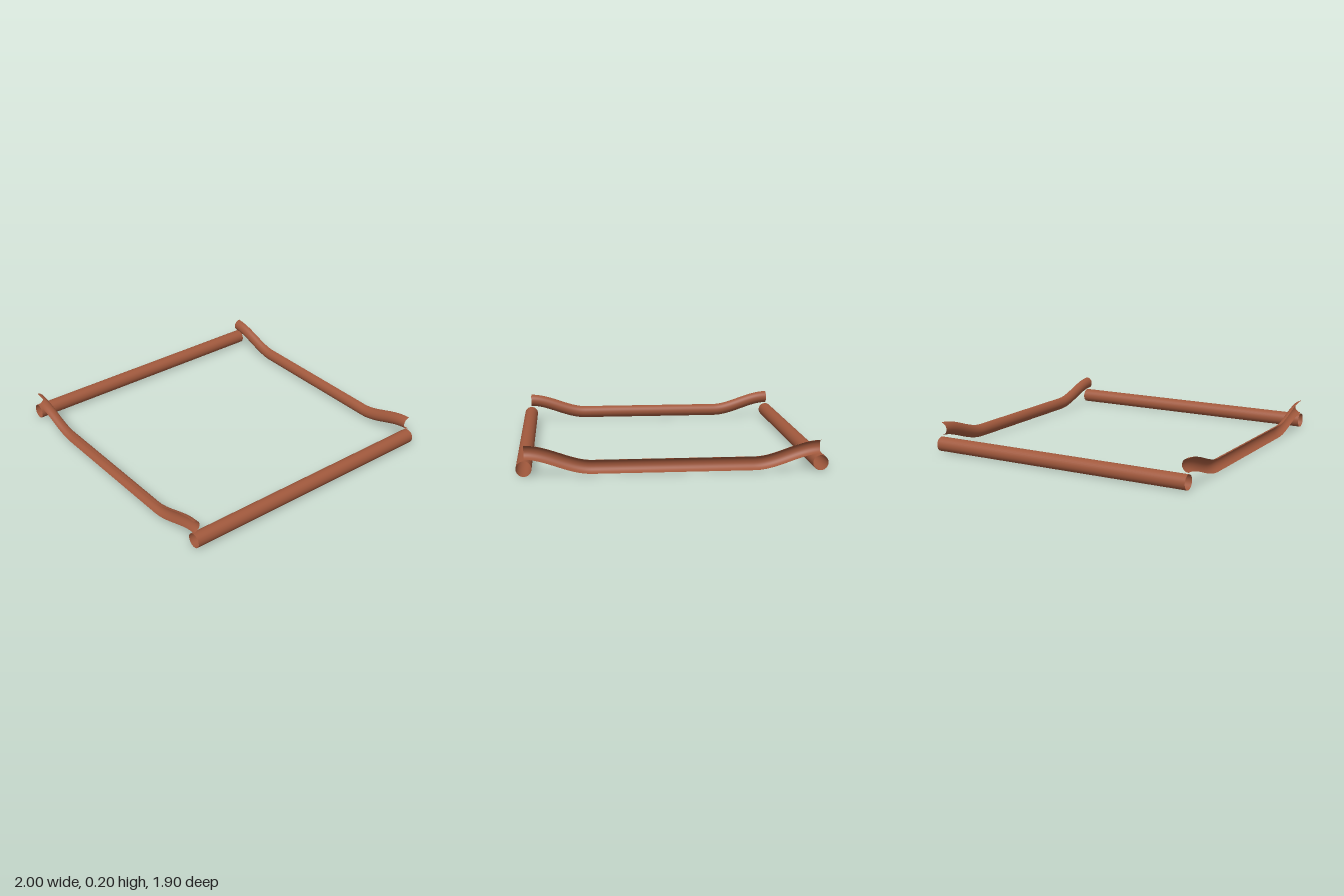
import * as THREE from 'three';
import { ParametricGeometry } from 'three/addons/geometries/ParametricGeometry.js';

const END = 0.95;      // half length of every rail
const BEND = 0.52;     // where the bent rails start to rise
const LOW = 0.055, RISE = 0.1, R = 0.045;

// Height and slope of the bent rail's centre line at x
function centreLine(x) {
  const t = Math.max(0, (Math.abs(x) - BEND) / (END - BEND));
  return {
    y: LOW + RISE * t * t * (3 - 2 * t),
    slope: Math.sign(x) * RISE * 6 * t * (1 - t) / (END - BEND),
  };
}

// Half pipe, open to the outside (+z) and bulging inward (-z)
function halfPipe(u, v, target) {
  const x = (u * 2 - 1) * END;
  const { y, slope } = centreLine(x);
  const a = Math.PI * v;
  const up = R * Math.cos(a) / Math.hypot(1, slope);
  target.set(x - slope * up, y + up, END - R * Math.sin(a));
}

export function createModel() {
  const model = new THREE.Group();
  const material = new THREE.MeshStandardMaterial({ color: 0xa0583c, side: THREE.DoubleSide });

  // Straight open tubes along both sides
  const tube = new THREE.CylinderGeometry(0.05, 0.05, END * 2, 32, 1, true);
  tube.rotateX(Math.PI / 2);
  for (const [name, x] of [['leftSideTube', 0.95], ['rightSideTube', -0.95]]) {
    const mesh = new THREE.Mesh(tube, material);
    mesh.name = name;
    mesh.position.set(x, 0.05, 0);
    model.add(mesh);
  }

  // Bent half-pipe rails across the front and back
  const rail = new ParametricGeometry(halfPipe, 80, 16);
  for (const [name, turn] of [['frontBentRail', 0], ['backBentRail', Math.PI]]) {
    const mesh = new THREE.Mesh(rail, material);
    mesh.name = name;
    mesh.rotation.y = turn;
    model.add(mesh);
  }
  return model;
}
